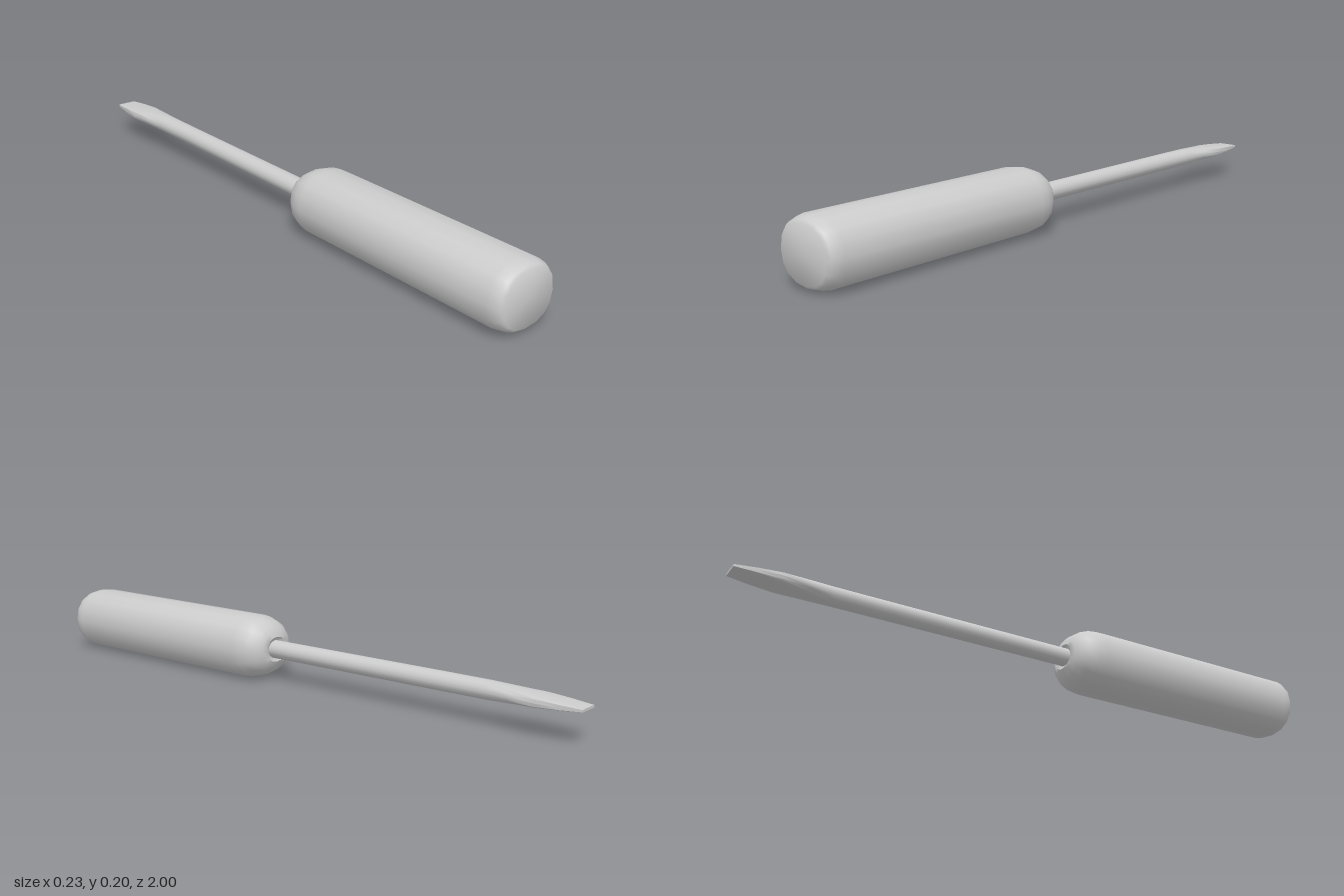
import * as THREE from 'three';
import { toCreasedNormals } from 'three/addons/utils/BufferGeometryUtils.js';

const AXIS_Y = 0.104;

// Loft along z through rings [z, halfWidth, halfHeight, power];
// power 1 is an ellipse, smaller values are boxier. Both ends are capped.
function loft(rings, sides, crease) {
  const pos = [], index = [];
  const bulge = (v, p) => Math.sign(v) * Math.pow(Math.abs(v), p);
  for (const [z, rx, ry, p] of rings) {
    for (let j = 0; j < sides; j++) {
      const a = (j / sides) * Math.PI * 2;
      pos.push(rx * bulge(Math.cos(a), p), ry * bulge(Math.sin(a), p), z);
    }
  }
  const last = (rings.length - 1) * sides;
  const frontCentre = pos.length / 3, backCentre = frontCentre + 1;
  pos.push(0, 0, rings[0][0], 0, 0, rings[rings.length - 1][0]);
  for (let j = 0; j < sides; j++) {
    const k = (j + 1) % sides;
    for (let r = 0; r < last; r += sides) {
      index.push(r + j, r + sides + j, r + k, r + k, r + sides + j, r + sides + k);
    }
    index.push(frontCentre, j, k, backCentre, last + k, last + j);
  }
  const g = new THREE.BufferGeometry();
  g.setAttribute('position', new THREE.Float32BufferAttribute(pos, 3));
  g.setIndex(index);
  return toCreasedNormals(g, crease);
}

export function createModel() {
  const group = new THREE.Group();
  group.name = 'screwdriver';
  const material = new THREE.MeshStandardMaterial({ color: 0xcccccc });

  const add = (name, geometry) => {
    const mesh = new THREE.Mesh(geometry, material);
    mesh.name = name;
    mesh.position.y = AXIS_Y;
    group.add(mesh);
  };

  // Handle: rounded butt, straight grip, domed shoulder; [z, scale of section]
  const handle = [
    [1, 0.82], [0.992, 0.9], [0.978, 0.96], [0.955, 1], [0.2, 1], [0.17, 0.965],
    [0.14, 0.86], [0.118, 0.71], [0.106, 0.54], [0.1, 0.4], [0.108, 0.3],
  ].map(([z, s]) => [z, 0.114 * s, 0.102 * s, 0.89]);
  add('handle', loft(handle, 16, 1.0));

  // Shaft flowing into the flared, flattened blade
  add('shaftAndBlade', loft([
    [0.15, 0.033, 0.029, 1],
    [-0.55, 0.033, 0.029, 1],
    [-0.7, 0.035, 0.028, 0.95],
    [-0.78, 0.042, 0.0235, 0.8],
    [-0.86, 0.049, 0.0175, 0.6],
    [-0.93, 0.043, 0.011, 0.4],
    [-1, 0.034, 0.004, 0.2],
  ], 16, 0.9));

  return group;
}
